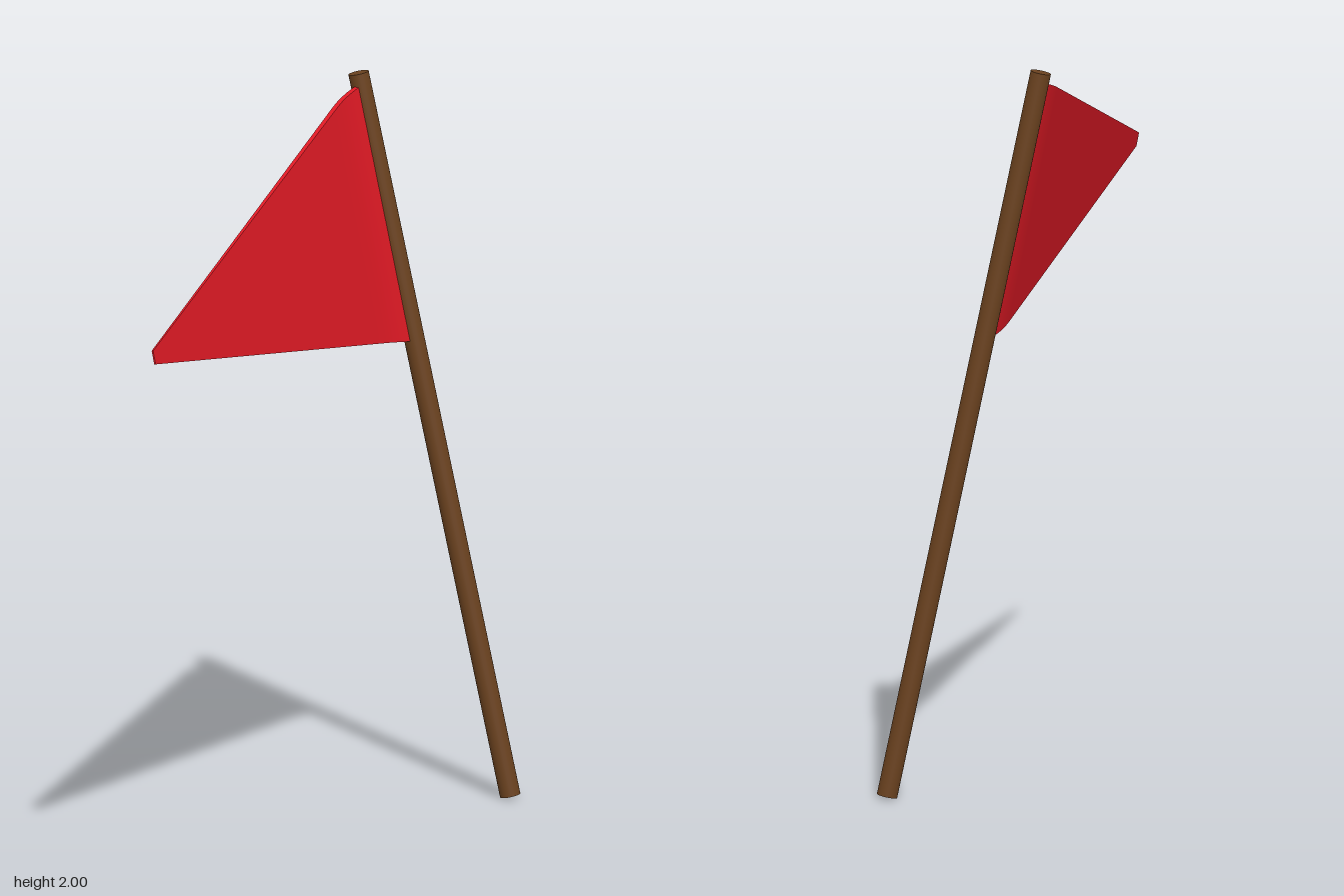
import * as THREE from 'three';

const lerp = THREE.MathUtils.lerp;

// Leaning round pole between two end points
function makePole() {
  const bottom = new THREE.Vector3(0.35, 0.006, -0.738);
  const top = new THREE.Vector3(-0.066, 1.994, -0.738);
  const axis = top.clone().sub(bottom);
  const pole = new THREE.Mesh(
    new THREE.CylinderGeometry(0.028, 0.028, axis.length(), 24),
    new THREE.MeshStandardMaterial({ color: 0x6b421f })
  );
  pole.name = 'pole';
  pole.position.copy(bottom).add(top).multiplyScalar(0.5);
  pole.quaternion.setFromUnitVectors(new THREE.Vector3(0, 1, 0), axis.normalize());
  return pole;
}

// Thin tapering pennant, curling slightly where it meets the pole
function makePennant() {
  const geometry = new THREE.BoxGeometry(1, 1, 1, 1, 4, 24);
  const p = geometry.attributes.position;
  for (let i = 0; i < p.count; i++) {
    const u = (p.getZ(i) + 0.5) ** 2; // pole to tip, denser near the pole
    const s = p.getY(i) + 0.5; // lower edge to upper edge
    const depth = 0.5 - p.getX(i); // outer face to inner face
    const curl = 0.02 * Math.max(0, 1 - u / 0.08) ** 2;
    const x = lerp(lerp(0.067, -0.075, s), lerp(-0.37, -0.377, s), u);
    const y = lerp(lerp(1.258, 1.508, u), lerp(1.962, 1.545, u), s);
    p.setXYZ(i, x + curl - depth * lerp(0.014, 0.004, u), y, lerp(-0.722, 0.764, u));
  }
  geometry.computeVertexNormals();
  const pennant = new THREE.Mesh(geometry, new THREE.MeshStandardMaterial({ color: 0xdd1924 }));
  pennant.name = 'pennant';
  return pennant;
}

export function createModel() {
  const group = new THREE.Group();
  group.name = 'pennantFlag';
  group.add(makePole(), makePennant());
  return group;
}
